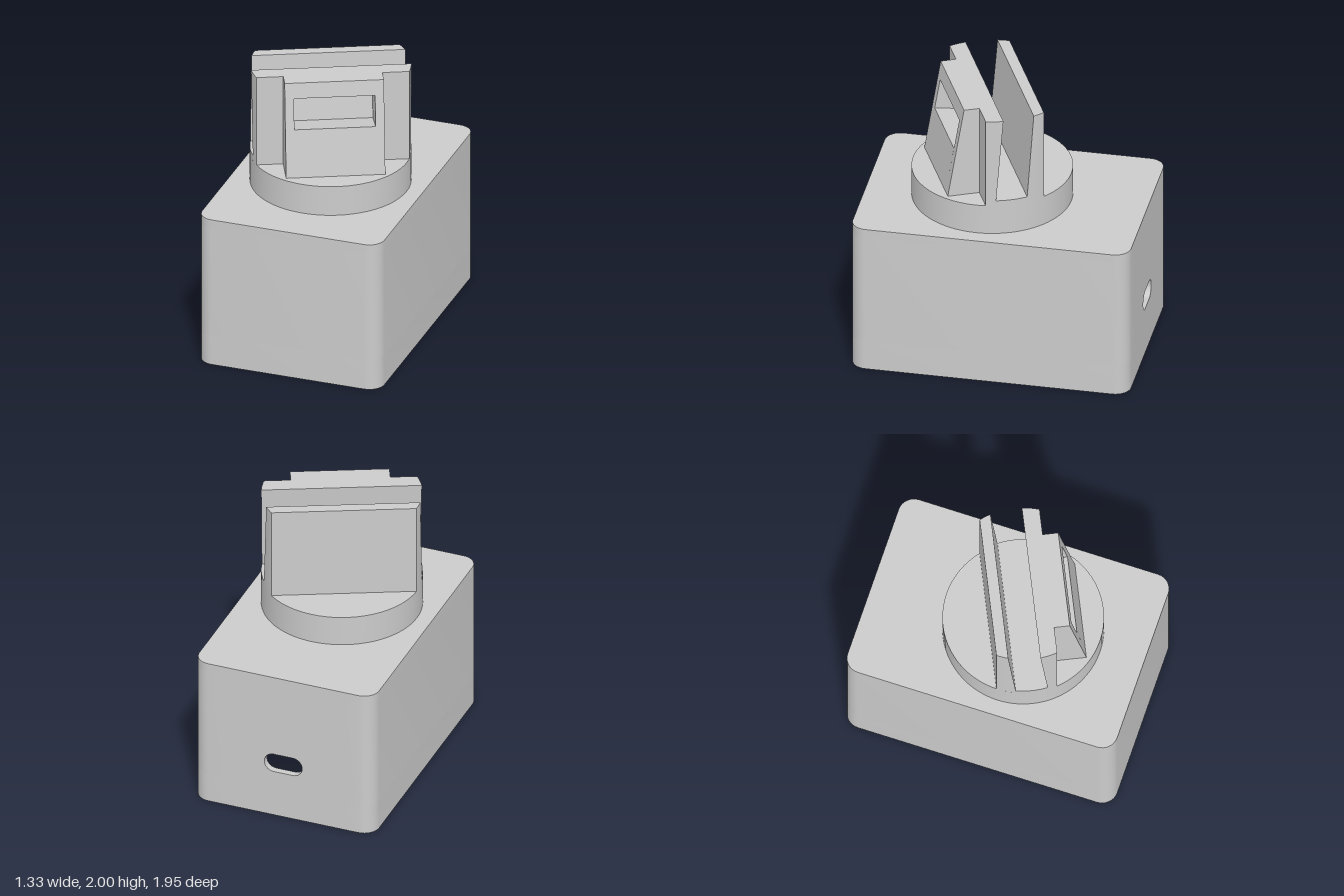
import * as THREE from 'three';
import { toCreasedNormals } from 'three/addons/utils/BufferGeometryUtils.js';

const mat = new THREE.MeshStandardMaterial({ color: 0xcccccc });
const R = 0.555; // radius of the turret
const V = (x, y) => new THREE.Vector2(x, y);

function add(parent, name, geo) {
  const mesh = new THREE.Mesh(toCreasedNormals(geo, 0.5), mat);
  mesh.name = name;
  parent.add(mesh);
  return mesh;
}

// Rounded rectangle, open between x = -gap and x = gap on the back side
function outline(hx, hz, r, gap) {
  const pts = [V(-gap, hz)];
  [[-1, 1, 0.5], [-1, -1, 1], [1, -1, 1.5], [1, 1, 2]].forEach(([sx, sy, a]) => {
    for (let i = 0; i <= 8; i++) {
      const t = (a + i / 16) * Math.PI;
      pts.push(V(sx * (hx - r) + r * Math.cos(t), sy * (hz - r) + r * Math.sin(t)));
    }
  });
  pts.push(V(gap, hz));
  return pts;
}

// Plan shape raised from y0 to y1
function raise(shape, y0, y1) {
  const geo = new THREE.ExtrudeGeometry(shape, { depth: y1 - y0, bevelEnabled: false });
  return geo.rotateX(-Math.PI / 2).translate(0, y0, 0);
}

// Side profile (z, y) extruded across x from u0 to u1
function across(profile, u0, u1) {
  const shape = new THREE.Shape(profile.map(([v, y]) => V(v, y)));
  const geo = new THREE.ExtrudeGeometry(shape, { depth: u1 - u0, bevelEnabled: false });
  return geo.rotateY(-Math.PI / 2).translate(u1, 0, 0);
}

// Slab clipped by the turret circle; back and front are z at [bottom, top].
// With an inner x given, only the end on the given side is made.
function slab(y0, y1, back, front, inner = null, side = 1) {
  const N = 10;
  const section = (b, f) => {
    const arc = [];
    for (let i = 0; i <= N; i++) {
      const v = b + (f - b) * i / N;
      arc.push([Math.sqrt(R * R - v * v), v]);
    }
    const rest = inner === null
      ? arc.map(([x, z]) => [-x, z]).reverse()
      : [[inner, f], [inner, b]];
    const pts = [...arc, ...rest].map(([x, z]) => [x * side, z]);
    return side < 0 ? pts.reverse() : pts;
  };
  const lo = section(back[0], front[0]).map(([x, z]) => [x, y0, z]);
  const hi = section(back[1], front[1]).map(([x, z]) => [x, y1, z]);
  const n = lo.length, pos = [];
  for (let i = 0; i < n; i++) {
    const j = (i + 1) % n;
    pos.push(...lo[i], ...hi[i], ...lo[j], ...lo[j], ...hi[i], ...hi[j]);
    if (i > 0 && j > 0) {
      pos.push(...hi[0], ...hi[j], ...hi[i], ...lo[0], ...lo[i], ...lo[j]);
    }
  }
  const geo = new THREE.BufferGeometry();
  geo.setAttribute('position', new THREE.Float32BufferAttribute(pos, 3));
  geo.computeVertexNormals();
  return geo;
}

export function createModel() {
  const model = new THREE.Group();
  const HX = 0.665, HZ = 0.975, WALL = 0.05, GAP = 0.4;
  const ledge = 0.22, ceiling = 1.05, top = 1.11;

  // Housing: open-bottomed box
  const housing = new THREE.Group();
  housing.name = 'housing';
  model.add(housing);
  const outer = outline(HX, HZ, 0.11, GAP);

  const rim = new THREE.Shape(outer);
  rim.holes.push(new THREE.Path(outline(HX - WALL, HZ - WALL, 0.05, GAP)));
  add(housing, 'lowerRim', raise(rim, 0, ledge));

  const inner = outline(HX - WALL, HZ - WALL, 0.19, GAP).reverse();
  add(housing, 'walls', raise(new THREE.Shape([...outer, ...inner]), ledge, ceiling));
  add(housing, 'roof', raise(new THREE.Shape(outer), ceiling, top));

  // Back panel with the cable slot
  const panel = new THREE.Shape([V(-GAP, ledge), V(GAP, ledge), V(GAP, ceiling), V(-GAP, ceiling)]);
  const slot = new THREE.Path();
  slot.absarc(0.07, 0.42, 0.07, -Math.PI / 2, Math.PI / 2);
  slot.absarc(-0.07, 0.42, 0.07, Math.PI / 2, Math.PI * 1.5);
  panel.holes.push(slot);
  add(housing, 'backPanel',
    new THREE.ExtrudeGeometry(panel, { depth: WALL, bevelEnabled: false, curveSegments: 16 })
      .translate(0, 0, -HZ));

  // Small ribs inside the lower rim that hold the lid
  for (const s of [-1, 1]) {
    for (const x of [-0.5, 0, 0.5]) {
      add(housing, 'lidRib', new THREE.BoxGeometry(0.06, 0.2, 0.05))
        .position.set(x, 0.12, s * (HZ - WALL - 0.02));
    }
    for (const z of [-0.62, 0.62]) {
      add(housing, 'lidRib', new THREE.BoxGeometry(0.05, 0.2, 0.06))
        .position.set(s * (HX - WALL - 0.02), 0.12, z);
    }
  }

  // Turret: turned disc carrying a holder with a tilted channel
  const turret = new THREE.Group();
  turret.name = 'turret';
  turret.position.z = 0.11;
  turret.rotation.y = THREE.MathUtils.degToRad(25);
  model.add(turret);

  add(turret, 'disc', new THREE.CylinderGeometry(R, R, 0.24, 72)).position.y = 1.21;
  add(turret, 'channelFloor', slab(1.33, 1.37, [-0.243, -0.243], [0.174, 0.174]));
  add(turret, 'backPlate', slab(1.37, 2, [-0.243, -0.243], [-0.115, -0.165]));

  // Front plate ends and the tapered block with its window pocket
  const block = 0.342, pocket = 0.28;
  const plain = [[0.105, 1.33], [0.397, 1.33], [0.282, 2], [0.055, 2], [0.105, 1.37]];
  const notched = [...plain];
  notched.splice(2, 0, [0.339, 1.67], [0.13, 1.635], [0.092, 1.855], [0.301, 1.89]);
  for (const s of [-1, 1]) {
    add(turret, 'frontPlateEnd', slab(1.37, 2, [0.105, 0.055], [0.174, 0.174], block, s));
  }
  add(turret, 'blockCentre', across(notched, -pocket, pocket));
  add(turret, 'blockSide', across(plain, pocket, block));
  add(turret, 'blockSide', across(plain, -block, -pocket));

  return model;
}
